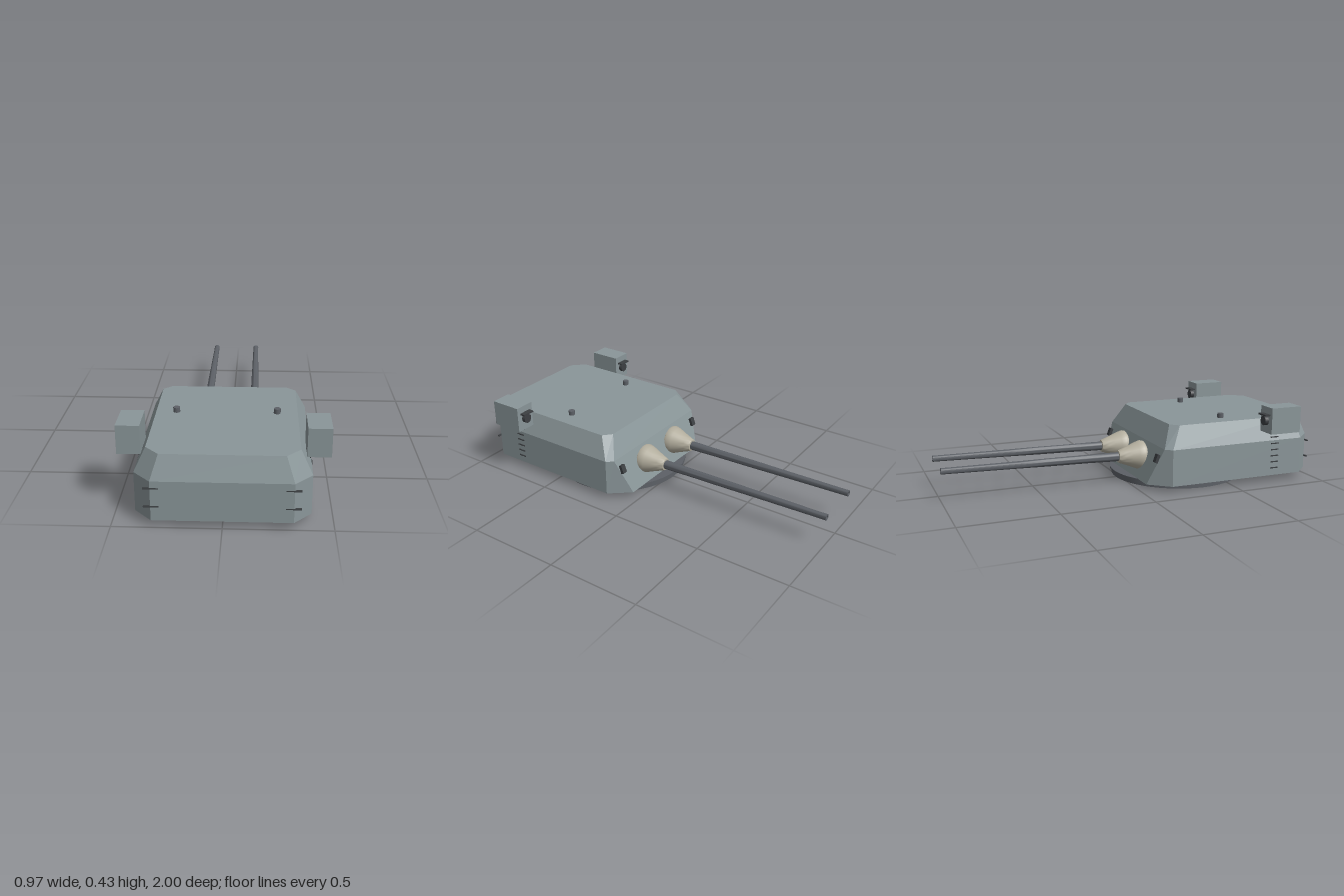
import * as THREE from 'three';
import { toCreasedNormals } from 'three/addons/utils/BufferGeometryUtils.js';

const paint = (color, flat = false) => new THREE.MeshStandardMaterial({ color, flatShading: flat });
const hullPaint = paint(0x8a9699, true);
const steel = paint(0x5c6066);
const dark = paint(0x3c3f42);
const canvas = paint(0xb3ae9e);

function add(parent, name, geometry, material, x = 0, y = 0, z = 0) {
  const mesh = new THREE.Mesh(geometry, material);
  mesh.name = name;
  mesh.position.set(x, y, z);
  parent.add(mesh);
  return mesh;
}

const lathe = (points, sides) => toCreasedNormals(
  new THREE.LatheGeometry(points.map(([r, y]) => new THREE.Vector2(r, y)), sides), 0.6);

// Faceted shell: stacked eight-sided rings, half of each ring given and mirrored
function shellGeometry(levels) {
  const rings = levels.map(({ y, half }) => [
    ...half.map(([x, z]) => [x, y, z]),
    ...half.slice().reverse().map(([x, z]) => [-x, y, z]),
  ]);
  const n = rings[0].length, top = rings.length - 1, pos = [];
  const tri = (a, b, c) => pos.push(...a, ...b, ...c);
  for (let k = 0; k < top; k++) {
    for (let i = 0; i < n; i++) {
      const j = (i + 1) % n, lo = rings[k], hi = rings[k + 1];
      tri(lo[j], lo[i], hi[i]);
      tri(lo[j], hi[i], hi[j]);
    }
  }
  for (let i = 1; i < n - 1; i++) {
    tri(rings[0][0], rings[0][i], rings[0][i + 1]);
    tri(rings[top][0], rings[top][i + 1], rings[top][i]);
  }
  const g = new THREE.BufferGeometry();
  g.setAttribute('position', new THREE.Float32BufferAttribute(pos, 3));
  g.computeVertexNormals();
  return g;
}

export function createModel() {
  const model = new THREE.Group();
  model.name = 'gunTurret';

  // Armoured house: floor, knuckle and roof outlines
  add(model, 'armouredHouse', shellGeometry([
    { y: 0.035, half: [[0.31, 0.03], [0.4, 0.14], [0.4, 0.912], [0.318, 0.997]] },
    { y: 0.23, half: [[0.37, 0.105], [0.4, 0.14], [0.4, 0.912], [0.318, 0.997]] },
    { y: 0.345, half: [[0.3, 0.162], [0.345, 0.202], [0.345, 0.89], [0.28, 0.957]] },
  ]), hullPaint);

  // Turning ring below the house
  add(model, 'baseRing', lathe(
    [[0, 0], [0.363, 0], [0.363, 0.024], [0.371, 0.024], [0.371, 0.036], [0, 0.036]], 48),
    steel, 0, 0, 0.343);

  // Shared geometry for the mirrored parts
  const barrel = lathe([[0.024, -0.05], [0.024, 0.12], [0.022, 0.22], [0.021, 0.45], [0.019, 0.6],
    [0.016, 0.97], [0.0165, 1], [0.009, 1], [0.009, 0.95], [0, 0.95]], 24);
  const blastBag = lathe([[0, -0.1], [0.06, -0.096], [0.077, -0.085], [0.08, -0.07], [0.072, -0.045],
    [0.058, -0.01], [0.045, 0.025], [0.036, 0.05], [0.032, 0.058], [0.02, 0.06]], 28);
  const periscope = new THREE.CylinderGeometry(0.017, 0.017, 0.03, 16);
  const rung = new THREE.BoxGeometry(0.012, 0.005, 0.045);
  const rail = new THREE.BoxGeometry(0.07, 0.005, 0.012);
  const lens = new THREE.CylinderGeometry(0.025, 0.025, 0.025, 20).rotateX(Math.PI / 2);

  for (const s of [-1, 1]) {
    const side = s > 0 ? 'left' : 'right';

    // Slightly raised gun with its cover
    const gun = new THREE.Group();
    gun.name = side + 'Gun';
    gun.position.set(s * 0.13, 0.15, 0);
    gun.rotation.x = -Math.PI / 2 + 0.018;
    add(gun, 'barrel', barrel, steel);
    add(gun, 'blastBag', blastBag, canvas);
    model.add(gun);

    // Sight box with lens and hood facing the guns
    const sight = new THREE.Group();
    sight.name = side + 'Rangefinder';
    sight.position.set(s * 0.43, 0.355, 0.757);
    add(sight, 'housing', new THREE.BoxGeometry(0.11, 0.14, 0.175), hullPaint);
    add(sight, 'lens', lens, dark, 0, -0.003, -0.095);
    add(sight, 'hood', new THREE.BoxGeometry(0.07, 0.008, 0.03), dark, 0, 0.03, -0.102);
    model.add(sight);

    add(model, side + 'Periscope', periscope, steel, s * 0.245, 0.354, 0.495);

    // Small sighting port on the front plate
    const port = add(model, side + 'SightPort', new THREE.BoxGeometry(0.03, 0.045, 0.03),
      dark, s * 0.334, 0.175, 0.083);
    port.rotation.x = 0.35;

    // Ladder rungs follow the wall, then the sloped upper plate
    for (let i = 0; i < 7; i++) {
      const y = 0.077 + i * 0.034;
      const x = 0.4 - Math.max(0, y - 0.23) * 0.48;
      add(model, side + 'LadderRung', rung, dark, s * x, y, 0.748);
    }

    // Rear hand rails
    for (const y of [0.105, 0.195]) {
      add(model, side + 'RearRail', rail, dark, s * 0.315, y, 0.994);
    }
  }
  return model;
}
